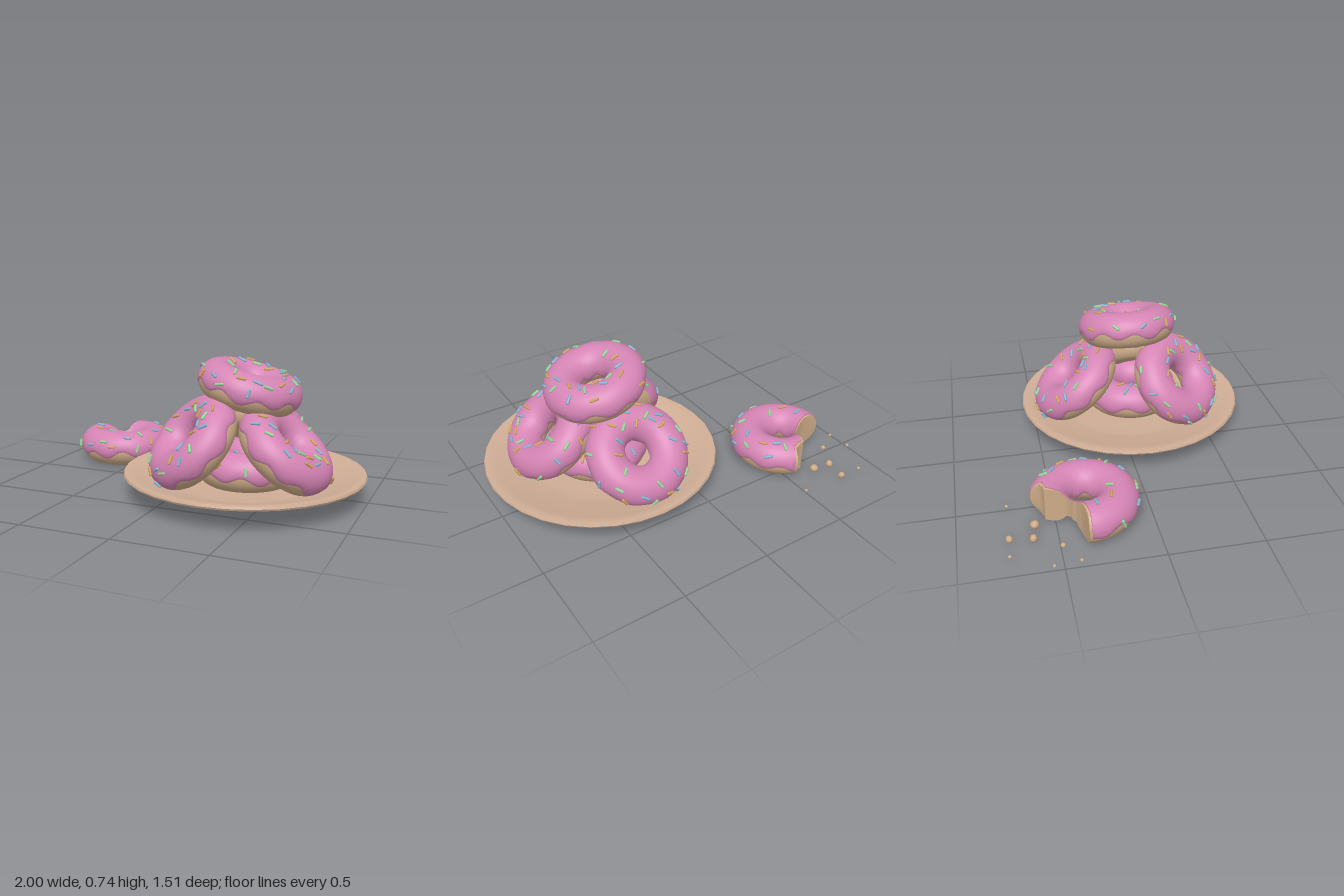
import * as THREE from 'three';
import { toCreasedNormals } from 'three/addons/utils/BufferGeometryUtils.js';
import { ParametricGeometry } from 'three/addons/geometries/ParametricGeometry.js';

const mat = (color) => new THREE.MeshStandardMaterial({ color });
const DOUGH = mat(0xcdab88), ICING = mat(0xd584b4), PLATE = mat(0xd0ae96);
const SPRINKLES = [mat(0x86b4d0), mat(0xd0a35c), mat(0x93d695)];

const R = 0.18;         // ring radius
const DOUGH_R = 0.1;    // dough thickness
const ICING_R = 0.108;  // icing thickness
const { clamp, lerp, degToRad } = THREE.MathUtils;

// Outline of the bite: [angle in degrees, distance left from the ring's centre]
const BITE = [[70, 0.4], [73, 0.23], [82, 0.205], [90, 0.2], [97, 0.155], [103, 0.12], [109, 0.1], [125, 0.094],
  [141, 0.1], [150, 0.102], [158, 0.118], [166, 0.135], [171, 0.165], [175, 0.2], [179, 0.4]];

function biteLimit(deg) {
  for (let i = 1; i < BITE.length; i++) {
    const [a0, r0] = BITE[i - 1], [a1, r1] = BITE[i];
    if (deg >= a0 && deg <= a1) return lerp(r0, r1, (deg - a0) / (a1 - a0));
  }
  return Infinity;
}

function seeded(seed) {
  let s = seed * 7919 + 17;
  return () => (s = (s * 16807) % 2147483647) / 2147483647;
}

// Ring surface; section(angle, t) gives the [angle, radius] of a cross-section point
function ring(section, tube, limit, steps) {
  const geo = new ParametricGeometry((u, t, target) => {
    const a = u * Math.PI * 2;
    const [v, r] = section(a, t);
    let rho = R + r * Math.cos(v);
    let y = Math.max(r * Math.sin(v), -0.092);
    const max = limit(u * 360);
    if (rho > max) {
      rho = max;
      const h = Math.sqrt(Math.max(tube * tube - (rho - R) ** 2, 0));
      y = clamp(y, -h, h);
    }
    target.set(rho * Math.cos(a), y, -rho * Math.sin(a));
  }, 120, steps);
  geo.deleteAttribute('uv');
  return toCreasedNormals(geo, 0.8);
}

function donut(name, seed, pos, normal, bitten = false) {
  const g = new THREE.Group();
  g.name = name;
  const rand = seeded(seed);
  const none = () => Infinity;

  const dough = new THREE.Mesh(
    ring((a, t) => [t * Math.PI * 2, DOUGH_R], DOUGH_R, bitten ? biteLimit : none, 28), DOUGH);
  dough.name = 'dough';

  // Icing drapes over the top, with a wavy rounded lip
  const icingLimit = (d) => Math.min(biteLimit(d - 3), biteLimit(d), biteLimit(d + 3)) - 0.008;
  const icing = new THREE.Mesh(ring((a, t) => {
    const outer = degToRad(-20 + 11 * Math.sin(9 * a + seed) + 5 * Math.sin(4 * a + 2 * seed));
    const inner = degToRad(205 + 9 * Math.sin(6 * a + seed));
    const lip = Math.sqrt(1 - Math.abs(2 * t - 1) ** 8);
    return [lerp(outer, inner, t), 0.088 + (ICING_R - 0.088) * lip];
  }, ICING_R, bitten ? icingLimit : none, 28), ICING);
  icing.name = 'icing';
  g.add(dough, icing);

  // Sprinkles lie flat on the icing
  const shape = new THREE.CapsuleGeometry(0.008, 0.036, 3, 8);
  const up = new THREE.Vector3(0, 1, 0);
  const bands = [18, 62, 105, 40, 85];
  for (let i = 0; i < 28; i++) {
    const a = (i * 2.39996 + seed) % (Math.PI * 2);
    const v = degToRad(bands[i % 5] + 24 * (rand() - 0.5));
    const turn = rand() * Math.PI;
    const rho = R + (ICING_R + 0.003) * Math.cos(v);
    const deg = a * 180 / Math.PI;
    if (bitten && deg > 62 && deg < 188) continue;
    const along = new THREE.Vector3(-Math.sin(a), 0, -Math.cos(a));
    const across = new THREE.Vector3(-Math.sin(v) * Math.cos(a), Math.cos(v), Math.sin(v) * Math.sin(a));
    const dir = along.multiplyScalar(Math.cos(turn)).addScaledVector(across, Math.sin(turn));
    const s = new THREE.Mesh(shape, SPRINKLES[i % 3]);
    s.name = 'sprinkle';
    s.position.set(rho * Math.cos(a), (ICING_R + 0.003) * Math.sin(v), -rho * Math.sin(a));
    s.quaternion.setFromUnitVectors(up, dir.normalize());
    g.add(s);
  }

  g.position.set(...pos);
  g.quaternion.setFromUnitVectors(up, new THREE.Vector3(...normal).normalize());
  return g;
}

function plate() {
  const profile = [[0, 0.035], [0.39, 0.035], [0.405, 0.042], [0.63, 0.115], [0.655, 0.12], [0.66, 0.13],
    [0.655, 0.142], [0.635, 0.144], [0.59, 0.132], [0.4, 0.076], [0.36, 0.07], [0, 0.07]];
  const geo = new THREE.LatheGeometry(profile.map(([x, y]) => new THREE.Vector2(x, y)), 32);
  const m = new THREE.Mesh(toCreasedNormals(geo, 0.4), PLATE);
  m.name = 'plate';
  m.position.set(0.34, 0, 0.09);
  return m;
}

export function createModel() {
  const model = new THREE.Group();
  model.name = 'plateOfDonuts';
  model.add(
    plate(),
    donut('bottomDonut', 1, [0.36, 0.17, 0.1], [0, 1, 0]),
    donut('backDonut', 2, [0.3, 0.295, -0.245], [0, 0.77, -0.64]),
    donut('leftDonut', 3, [0.595, 0.295, 0.185], [0.65, 0.76, 0.03]),
    donut('rightDonut', 4, [0.135, 0.325, 0.325], [-0.55, 0.66, 0.51]),
    donut('topDonut', 5, [0.36, 0.595, 0.08], [0.25, 0.97, -0.03]),
    donut('bittenDonut', 6, [-0.62, 0.1, -0.35], [0, 1, 0], true),
  );

  // Crumbs beside the bite: x, z, radius
  const crumbs = [[-0.885, -0.75, 0.01], [-0.757, -0.743, 0.02], [-0.773, -0.626, 0.021], [-0.67, -0.61, 0.024],
    [-0.495, -0.738, 0.01], [-0.99, -0.55, 0.01], [-0.853, -0.49, 0.014], [-0.976, -0.417, 0.01]];
  crumbs.forEach(([x, z, r], i) => {
    const c = new THREE.Mesh(new THREE.IcosahedronGeometry(r, 1), DOUGH);
    c.name = 'crumb';
    c.position.set(x, 0.025, z);
    c.rotation.set(i, i * 2, 0);
    c.scale.set(1, 0.9, 1);
    model.add(c);
  });
  return model;
}
